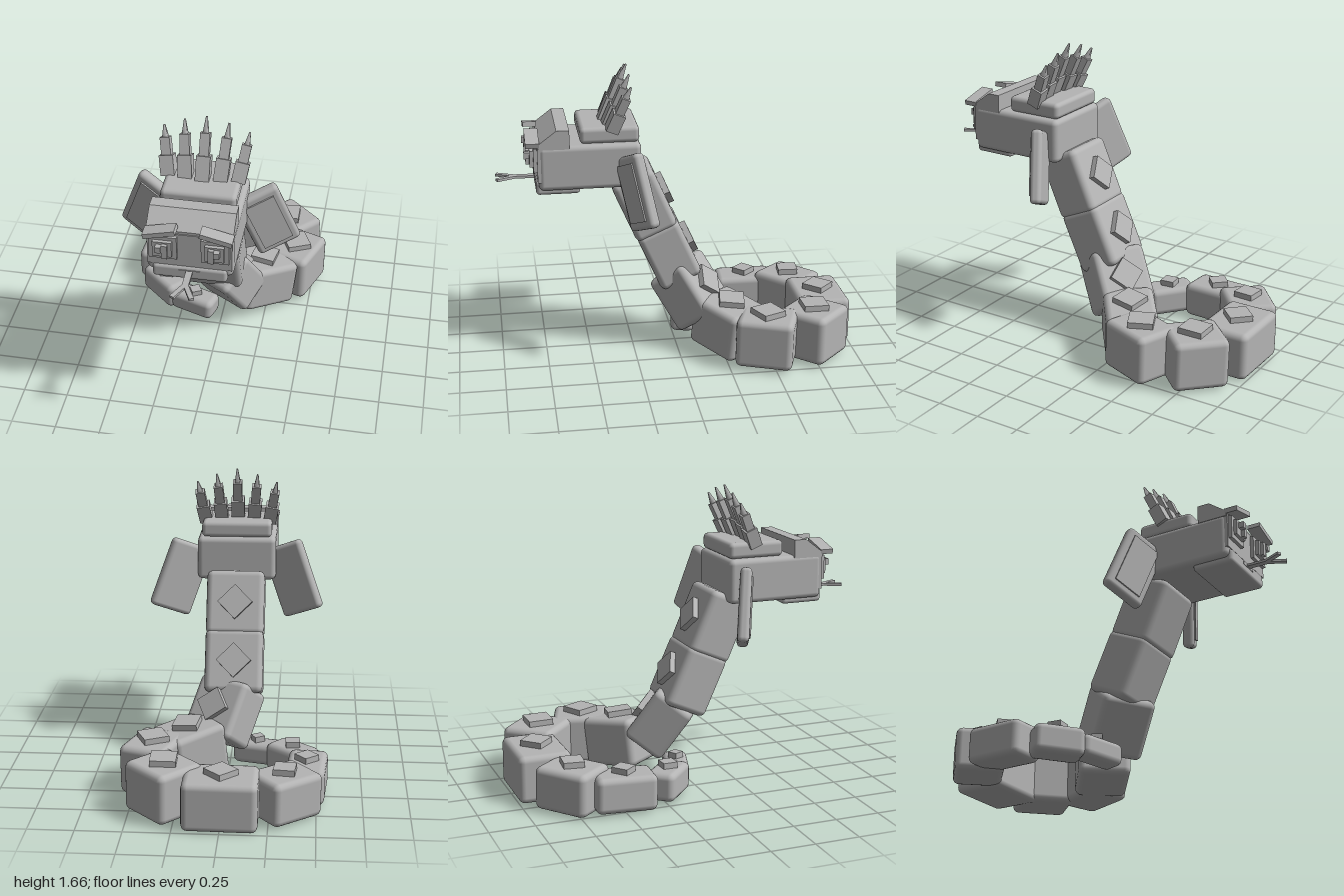
import * as THREE from 'three';
import { RoundedBoxGeometry } from 'three/addons/geometries/RoundedBoxGeometry.js';

export function createModel() {
  const root = new THREE.Group();
  root.name = 'crestedSerpent';
  const grey = new THREE.MeshStandardMaterial({ color: 0xb4b4b4 });
  grey.name = 'stoneGrey';

  function add(parent, name, geo, x = 0, y = 0, z = 0) {
    const m = new THREE.Mesh(geo, grey);
    m.name = name;
    m.position.set(x, y, z);
    parent.add(m);
    return m;
  }
  const box = (w, h, d) => new THREE.BoxGeometry(w, h, d);
  const soft = (w, h, d, r) => new RoundedBoxGeometry(w, h, d, 2, r);

  // Body: centre, direction toward the tail, width, height, length, back plate size
  const body = [
    [[-0.02, 0.895, 0.185], [0, -0.92, -0.4], 0.33, 0.25, 0.37, 0.14],
    [[-0.02, 0.59, 0.045], [0, -0.91, -0.41], 0.33, 0.25, 0.36, 0.14],
    [[0.03, 0.335, -0.085], [0.3, -0.8, -0.48], 0.32, 0.25, 0.34, 0.14],
    [[0.21, 0.19, -0.28], [0.8, -0.13, -0.6], 0.29, 0.28, 0.33, 0.14],
    [[0.395, 0.175, -0.465], [0.34, -0.02, -0.94], 0.27, 0.28, 0.32, 0.14],
    [[0.31, 0.165, -0.75], [-0.72, -0.02, -0.69], 0.3, 0.28, 0.31, 0.14],
    [[0, 0.15, -0.85], [-1, -0.01, 0], 0.3, 0.27, 0.4, 0.13],
    [[-0.33, 0.14, -0.745], [-0.77, -0.02, 0.64], 0.27, 0.24, 0.32, 0.115],
    [[-0.445, 0.125, -0.495], [-0.07, -0.02, 1], 0.215, 0.2, 0.34, 0.095],
    [[-0.365, 0.11, -0.21], [0.75, -0.02, 0.66], 0.17, 0.16, 0.28, 0.08],
    [[-0.165, 0.1, -0.085], [0.95, -0.03, 0.3], 0.14, 0.125, 0.27, 0.06],
  ];
  const up = new THREE.Vector3(0, 1, 0);
  body.forEach(([centre, dir, w, h, len, plate], i) => {
    const along = new THREE.Vector3(...dir).normalize();
    const back = up.clone().addScaledVector(along, -along.y).normalize();
    const side = new THREE.Vector3().crossVectors(back, along);
    const seg = new THREE.Group();
    seg.name = i < 3 ? 'neckSegment' : 'coilSegment';
    seg.position.set(...centre);
    seg.quaternion.setFromRotationMatrix(new THREE.Matrix4().makeBasis(side, back, along));
    add(seg, 'bodyBlock', soft(w, h, len, 0.035));
    add(seg, 'backPlate', box(plate, 0.05, plate), 0, h / 2 + 0.008, 0).rotation.y = Math.PI / 4;
    root.add(seg);
  });

  // Head, sharing the neck's centre line
  const head = new THREE.Group();
  head.name = 'head';
  head.position.x = -0.02;
  root.add(head);
  add(head, 'skull', soft(0.45, 0.25, 0.56, 0.03), 0, 1.16, 0.49);
  add(head, 'lowerJaw', soft(0.39, 0.08, 0.24, 0.02), 0, 1.045, 0.665);
  add(head, 'upperLip', box(0.44, 0.2, 0.04), 0, 1.185, 0.755);
  add(head, 'crownPlate', soft(0.4, 0.09, 0.325, 0.025), 0, 1.33, 0.38);

  // Sloping forehead, profile drawn in z and y
  const profile = new THREE.Shape([
    [0.6, 1.27], [0.77, 1.27], [0.77, 1.3], [0.67, 1.375], [0.6, 1.375],
  ].map(([z, y]) => new THREE.Vector2(-z, y)));
  const brow = new THREE.ExtrudeGeometry(profile, { depth: 0.45, bevelEnabled: false });
  brow.translate(0, 0, -0.225).rotateY(Math.PI / 2);
  add(head, 'forehead', brow);

  // Forked tongue
  add(head, 'tongue', box(0.035, 0.014, 0.24), 0, 1.057, 0.8);
  add(head, 'mouthSlot', box(0.115, 0.02, 0.01), 0, 1.057, 0.783);
  for (const s of [-1, 1]) {
    add(head, 'tongueFork', box(0.026, 0.014, 0.11), s * 0.027, 1.057, 0.945).rotation.y = s * 0.45;

    // Eye: white, raised iris and stepped pupil
    add(head, 'eye', box(0.145, 0.135, 0.04), s * 0.135, 1.207, 0.775);
    add(head, 'iris', box(0.1, 0.09, 0.03), s * 0.135, 1.21, 0.8);
    add(head, 'pupil', box(0.03, 0.08, 0.04), s * 0.12, 1.207, 0.815);
    add(head, 'pupilStep', box(0.03, 0.035, 0.04), s * 0.15, 1.225, 0.825);
    const lid = add(head, 'eyebrow', box(0.17, 0.027, 0.075), s * 0.145, 1.317, 0.8);
    lid.rotation.z = -s * 0.24;

    // Hanging side fin with a raised panel
    const fin = new THREE.Group();
    fin.name = 'sideFin';
    fin.position.set(s * 0.325, 1.042, 0.25);
    fin.rotation.set(0.04, s * 0.42, s * 0.39, 'YXZ');
    add(fin, 'finSlab', soft(0.25, 0.41, 0.065, 0.025));
    add(fin, 'finPanel', box(0.17, 0.32, 0.03), 0, 0, 0.026);
    head.add(fin);
  }

  // Crest of five stepped spikes, fanned outward and leaning back
  const tip = new THREE.CylinderGeometry(0.006, 0.022, 0.09, 4).rotateY(Math.PI / 4);
  for (let i = -2; i <= 2; i++) {
    const k = 1 - 0.09 * Math.abs(i) - 0.04 * Math.max(0, Math.abs(i) - 1);
    const spike = new THREE.Group();
    spike.name = 'crestSpike';
    spike.position.set(i * 0.092, 1.355, 0.4 - 0.015 * Math.abs(i));
    spike.rotation.set(-0.4, 0, -i * 0.085, 'ZXY');
    spike.scale.y = k;
    add(spike, 'spikeBase', box(0.075, 0.14, 0.07), 0, 0.07, 0);
    add(spike, 'spikeMiddle', box(0.052, 0.13, 0.048), 0, 0.195, 0);
    add(spike, 'spikeTip', tip, 0, 0.3, 0);
    head.add(spike);
  }
  return root;
}
